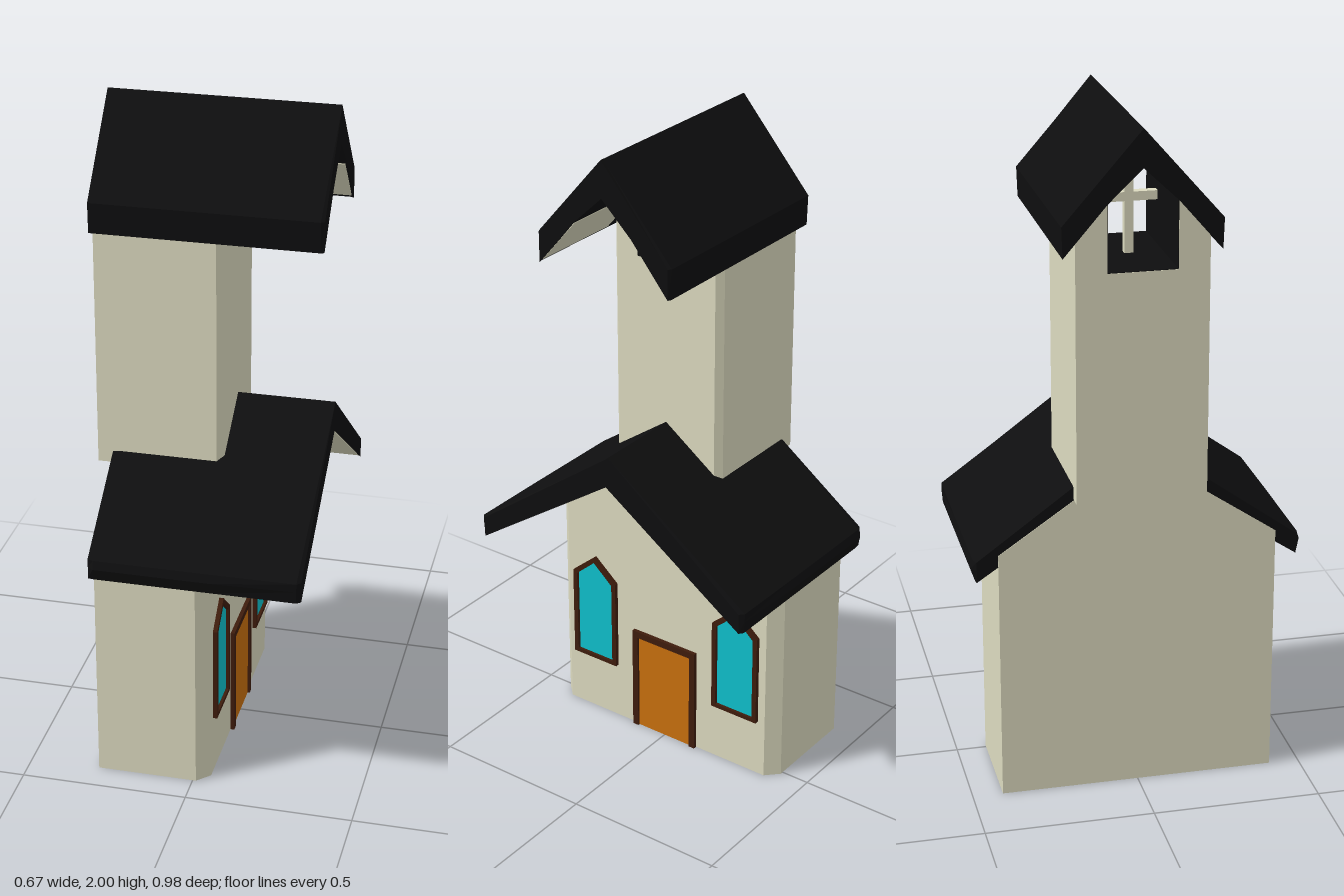
import * as THREE from 'three';

const mat = (color) => new THREE.MeshStandardMaterial({ color, flatShading: true });
const CREAM = mat(0xdcdabf), BLACK = mat(0x0e0e0f), BROWN = mat(0x3e1c0c),
  ORANGE = mat(0xc8700e), CYAN = mat(0x0fc0cc);

const toShape = (pts) => new THREE.Shape(pts.map(([x, y]) => new THREE.Vector2(x, y)));

// Closes a right-hand half outline with its mirror image
const mirrored = (half) => [...half, ...half.filter(([x]) => x > 0).reverse().map(([x, y]) => [-x, y])];

// Sweeps a (z, y) outline along x; each station is [x, widest half width allowed there]
function sweep(name, outline, stations, material, hole) {
  const shape = toShape(outline);
  if (hole) shape.holes.push(toShape(hole));
  const steps = stations.length - 1;
  const geo = new THREE.ExtrudeGeometry(shape, { depth: 1, steps, bevelEnabled: false });
  const p = geo.attributes.position;
  for (let i = 0; i < p.count; i++) {
    const [x, limit = 9] = stations[Math.round(p.getZ(i) * steps)];
    p.setXYZ(i, x, p.getY(i), -THREE.MathUtils.clamp(p.getX(i), -limit, limit));
  }
  geo.computeVertexNormals();
  const mesh = new THREE.Mesh(geo, material);
  mesh.name = name;
  return mesh;
}

function box(name, x0, x1, y0, y1, z0, z1, material) {
  const mesh = new THREE.Mesh(new THREE.BoxGeometry(x1 - x0, y1 - y0, z1 - z0), material);
  mesh.position.set((x0 + x1) / 2, (y0 + y1) / 2, (z0 + z1) / 2);
  mesh.name = name;
  return mesh;
}

function createNave() {
  const g = new THREE.Group();
  g.name = 'nave';
  // Gabled hall with chamfered front corners
  g.add(sweep('hall', mirrored([[0.41, 0], [0.41, 0.77], [0, 1.05]]),
    [[-0.29, 0.41], [0.01, 0.41], [0.048, 0.372]], CREAM));
  // Roof flush at the back, overhanging and slightly narrower at the front
  g.add(sweep('hallRoof',
    mirrored([[0, 1.01], [0.475, 0.692], [0.488, 0.73], [0.48, 0.755], [0, 1.1]]),
    [[-0.288, 0.473], [-0.27], [0.07], [0.32, 0.478], [0.332, 0.465]], BLACK));
  // Pale lining below the front overhang
  g.add(sweep('hallSoffit',
    mirrored([[0, 1.006], [0.465, 0.695], [0.465, 0.705], [0, 1.016]]), [[0.03], [0.326]], CREAM));
  return g;
}

function createTower() {
  const g = new THREE.Group();
  g.name = 'tower';
  // Shaft with a bell opening running right through the top
  g.add(sweep('shaft', [[-0.19, 0.925], [0.19, 0.925], [0.19, 1.74], [0.1, 1.84], [0.1, 1.6],
    [-0.1, 1.6], [-0.1, 1.84], [-0.19, 1.74]],
  [[-0.333, 0.19], [0.022, 0.19], [0.042, 0.172]], CREAM));
  // Dark lining of the opening
  g.add(sweep('openingLining', [[-0.101, 1.599], [0.101, 1.599], [0.101, 1.82], [0.098, 1.82],
    [0.098, 1.602], [-0.098, 1.602], [-0.098, 1.82], [-0.101, 1.82]],
  [[-0.332], [0.041]], BLACK));
  g.add(sweep('towerRoof', mirrored([[0, 1.89], [0.1, 1.795], [0.225, 1.65], [0.228, 1.74], [0, 2]]),
    [[-0.335], [0.322], [0.332, 0.22]], BLACK));
  // Pale lining below the outer part of the front overhang
  for (const s of [-1, 1]) {
    const strip = [[0.1, 1.792], [0.215, 1.658], [0.215, 1.668], [0.1, 1.802]].map(([z, y]) => [s * z, y]);
    g.add(sweep('towerSoffit', strip, [[0.03], [0.326]], CREAM));
  }
  // Cross standing inside the opening
  g.add(box('crossUpright', -0.16, -0.135, 1.6, 1.83, -0.013, 0.013, CREAM));
  g.add(box('crossArm', -0.16, -0.135, 1.752, 1.778, -0.082, 0.082, CREAM));
  return g;
}

function createWindow(z) {
  const g = new THREE.Group();
  g.name = 'window';
  const outer = mirrored([[0.082, 0.188], [0.082, 0.485], [0, 0.555]]);
  const inner = mirrored([[0.067, 0.2], [0.067, 0.477], [0, 0.536]]);
  g.add(sweep('windowFrame', outer, [[0.04], [0.061]], BROWN, inner));
  g.add(sweep('windowPane', inner, [[0.04], [0.052]], CYAN));
  g.position.z = z;
  return g;
}

function createDoor() {
  const g = new THREE.Group();
  g.name = 'entrance';
  for (const s of [-1, 1]) {
    g.add(box('doorPost', 0.04, 0.06, 0, 0.325, s * 0.108 - 0.01, s * 0.108 + 0.01, BROWN));
  }
  g.add(box('doorLintel', 0.04, 0.06, 0.325, 0.346, -0.118, 0.118, BROWN));
  g.add(box('door', 0.04, 0.053, 0, 0.325, -0.098, 0.098, ORANGE));
  return g;
}

export function createModel() {
  const model = new THREE.Group();
  model.name = 'chapel';
  model.add(createNave(), createTower(), createDoor(), createWindow(0.265), createWindow(-0.265));
  return model;
}
